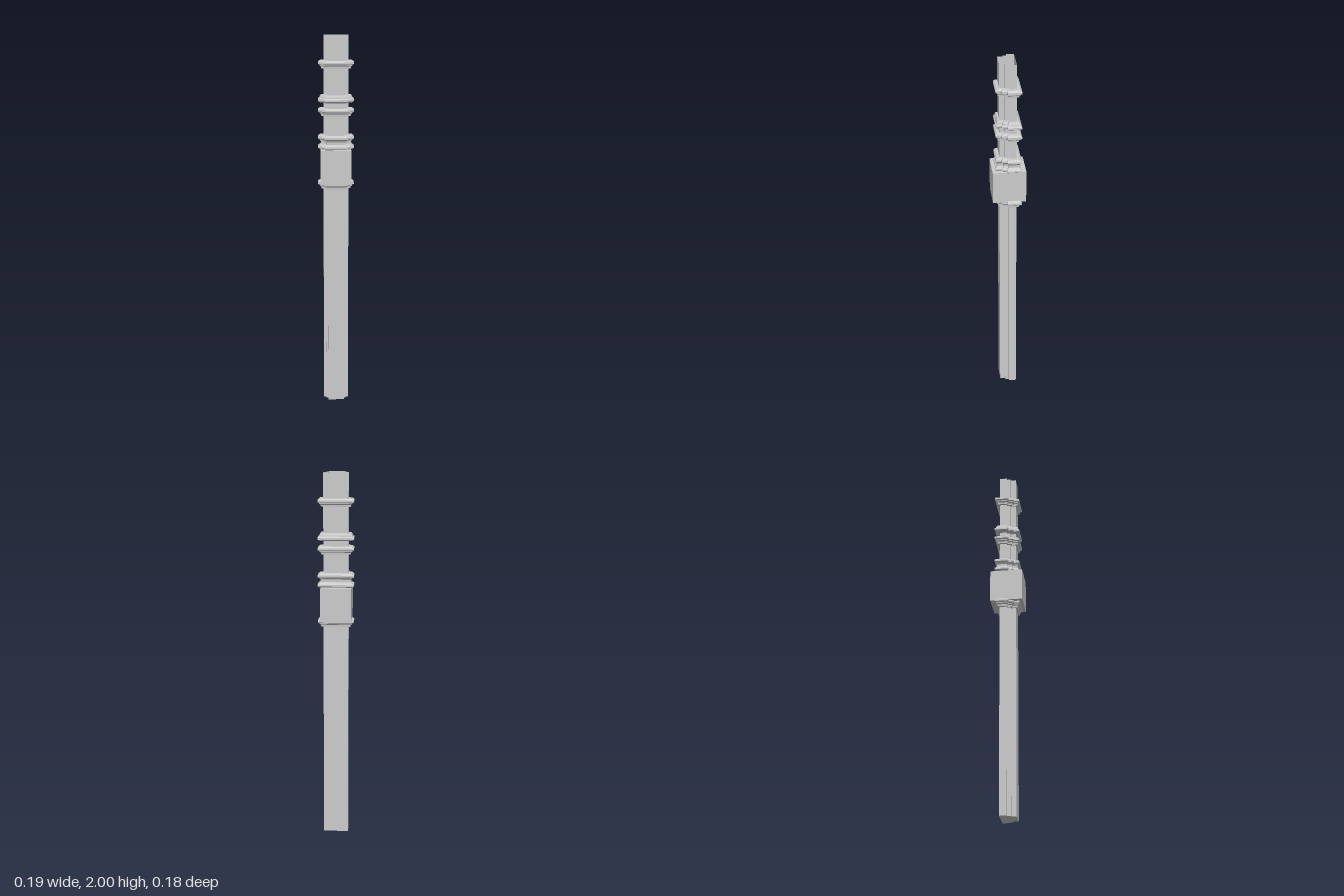
import * as THREE from 'three';

// Half outlines as [x, z], from back to front, mirrored in x.
const mirror = half => [...half, ...half.map(([x, z]) => [-x, z]).reverse()];
const shaftOutline = mirror([[0.067, -0.04], [0.067, 0], [0.054, 0], [0.054, 0.02], [0.043, 0.02], [0.043, 0.048]]);
const ringOutline = mirror([[0.096, -0.065], [0.096, 0.01], [0.077, 0.01], [0.077, 0.038], [0.062, 0.038], [0.062, 0.069]]);

// Outline between the shaft (t = 0) and the widest moulding (t = 1).
const outlineAt = t => shaftOutline.map(([x, z], i) => [
  x + (ringOutline[i][0] - x) * t,
  z + (ringOutline[i][1] - z) * t,
]);

// Joins cross-sections [y, t], listed from bottom to top, with optional caps.
function loft(sections, capBottom, capTop) {
  const n = shaftOutline.length;
  const positions = [], index = [];
  for (const [y, t] of sections) {
    for (const [x, z] of outlineAt(t)) positions.push(x, y, z);
  }
  for (let s = 0; s < sections.length - 1; s++) {
    for (let i = 0; i < n; i++) {
      const a = s * n + i, b = s * n + (i + 1) % n;
      index.push(a, a + n, b + n, a, b + n, b);
    }
  }
  const cap = (s, up) => {
    const points = outlineAt(sections[s][1]).map(p => new THREE.Vector2(...p));
    for (const [a, b, c] of THREE.ShapeUtils.triangulateShape(points, [])) {
      const o = s * n;
      if (up) index.push(o + a, o + c, o + b);
      else index.push(o + a, o + b, o + c);
    }
  };
  if (capBottom) cap(0, false);
  if (capTop) cap(sections.length - 1, true);
  const indexed = new THREE.BufferGeometry();
  indexed.setAttribute('position', new THREE.Float32BufferAttribute(positions, 3));
  indexed.setIndex(index);
  const geometry = indexed.toNonIndexed();
  geometry.computeVertexNormals();
  return geometry;
}

export function createModel() {
  const group = new THREE.Group();
  const material = new THREE.MeshStandardMaterial({ color: 0xcccccc, flatShading: true, side: THREE.DoubleSide });
  const add = (name, geometry) => {
    const mesh = new THREE.Mesh(geometry, material);
    mesh.name = name;
    group.add(mesh);
    return mesh;
  };

  // Stepped shaft, open at the top
  add('shaft', loft([[0, 0], [2, 0]], true, false));

  // Plain block around the shaft
  add('block', new THREE.BoxGeometry(0.165, 0.18, 0.177)).position.set(-0.0015, 1.305, -0.0015);

  // Moulding profiles: heights above the base, and how far they stand out
  const band = [[0, 0.4], [0.01, 0.45], [0.015, 0.68], [0.02, 0.72], [0.024, 1], [0.034, 1], [0.042, 0.63]];
  const steppedBand = [[0, 0.65], [0.007, 1], [0.017, 1], [0.023, 0.72], [0.03, 0.68], [0.04, 0.45]];
  const doubleBand = [[0, 0.7], [0.006, 1], [0.015, 1], [0.021, 0.72], [0.028, 0.5], [0.042, 0.5],
    [0.05, 0.7], [0.056, 1], [0.066, 1], [0.075, 0.63]];
  const mouldings = [
    ['lowerMoulding', band, 1.18],
    ['collarMoulding', doubleBand, 1.395],
    ['middleMoulding', band, 1.572],
    ['upperMoulding', steppedBand, 1.645],
    ['topMoulding', band, 1.825],
  ];
  for (const [name, profile, base] of mouldings) {
    add(name, loft(profile.map(([y, t]) => [base + y, t]), true, true));
  }
  return group;
}
